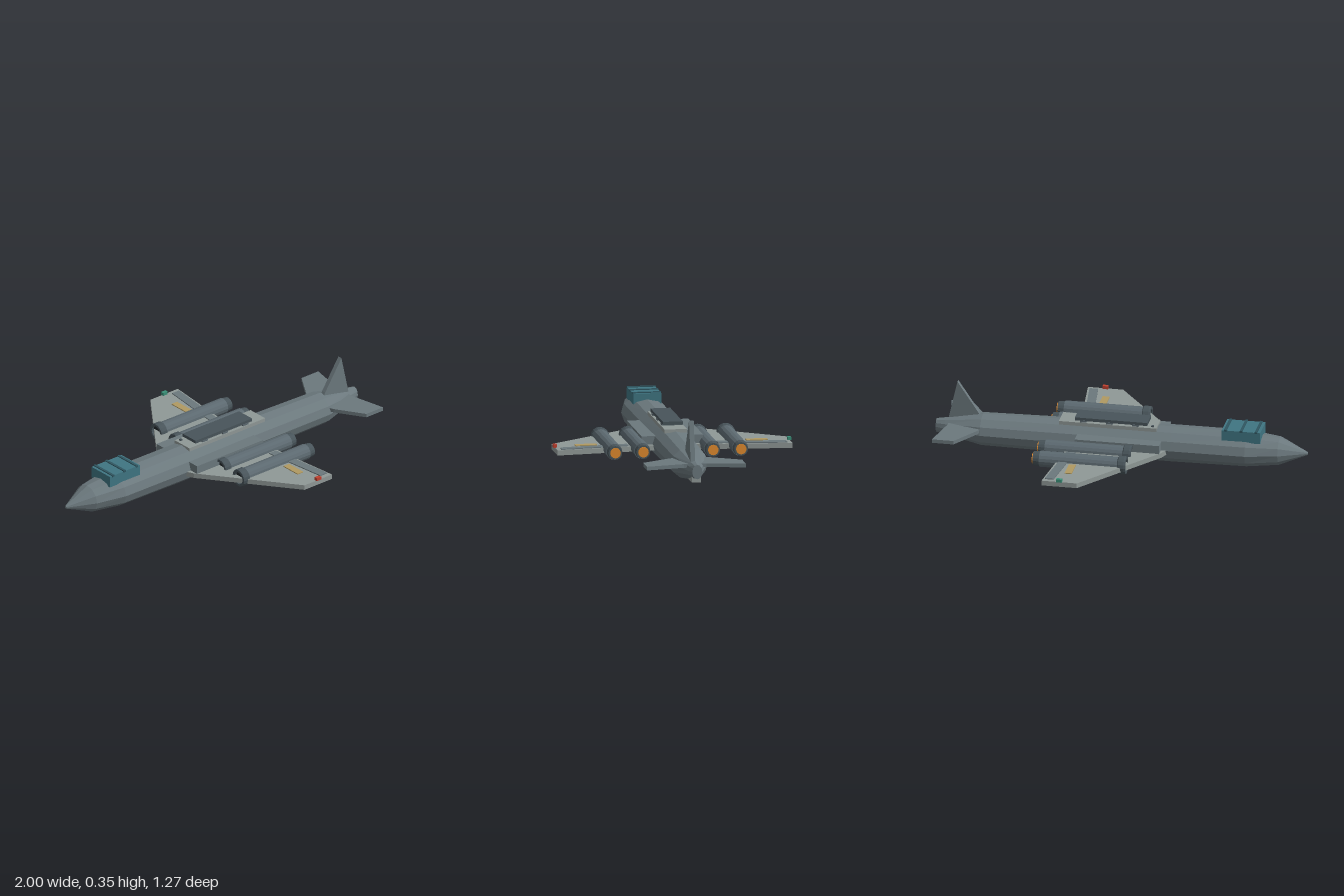
import * as THREE from 'three';

const COLORS = {
  hull: 0x6b787d, wing: 0x8f9896, engine: 0x5c6970, dark: 0x48545a, intake: 0x22282c,
  glow: 0xe08a2e, glass: 0x3f7582, frame: 0x2f5661, tan: 0xb09a62, red: 0xc0402f, green: 0x3a9078,
};
const mats = {};
for (const k in COLORS) {
  mats[k] = new THREE.MeshStandardMaterial({ color: COLORS[k], flatShading: true });
}

function add(parent, name, geo, mat) {
  const mesh = new THREE.Mesh(geo, mats[mat]);
  mesh.name = name;
  parent.add(mesh);
  return mesh;
}

// Box given by its extents on each axis
function box(parent, name, mat, [x0, x1], [y0, y1], [z0, z1]) {
  const geo = new THREE.BoxGeometry(x1 - x0, y1 - y0, z1 - z0);
  geo.translate((x0 + x1) / 2, (y0 + y1) / 2, (z0 + z1) / 2);
  return add(parent, name, geo, mat);
}

// Horizontal slab from an outline of [x, z] points
function slab(parent, name, mat, pts, y0, y1, side) {
  const shape = new THREE.Shape(pts.map(([x, z]) => new THREE.Vector2(x, -z * side)));
  const geo = new THREE.ExtrudeGeometry(shape, { depth: y1 - y0, bevelEnabled: false });
  geo.rotateX(-Math.PI / 2).translate(0, y0, 0);
  return add(parent, name, geo, mat);
}

// Cylinder along x
function tube(parent, name, mat, x0, x1, r0, r1, y, z, sides = 16) {
  const geo = new THREE.CylinderGeometry(r1, r0, x1 - x0, sides);
  geo.rotateZ(-Math.PI / 2).translate((x0 + x1) / 2, y, z);
  return add(parent, name, geo, mat);
}

// Twelve-sided hull lofted through elliptical sections [x, centre y, half height, half width]
function hullGeometry(sections, sides = 12) {
  const pos = [], index = [];
  for (const [x, y, h, w] of sections) {
    for (let i = 0; i < sides; i++) {
      const a = (i / sides) * Math.PI * 2;
      pos.push(x, y + h * Math.cos(a), w * Math.sin(a));
    }
  }
  const last = sections.length - 1;
  for (let s = 0; s < last; s++) {
    for (let i = 0; i < sides; i++) {
      const j = (i + 1) % sides;
      const a = s * sides + i, b = s * sides + j, c = a + sides, d = b + sides;
      index.push(a, b, c, b, d, c);
    }
  }
  // end caps
  for (let i = 1; i < sides - 1; i++) {
    index.push(0, i + 1, i);
    index.push(last * sides, last * sides + i, last * sides + i + 1);
  }
  const geo = new THREE.BufferGeometry();
  geo.setAttribute('position', new THREE.Float32BufferAttribute(pos, 3));
  geo.setIndex(index);
  geo.computeVertexNormals();
  return geo;
}

function makeEngine(z) {
  const g = new THREE.Group();
  g.name = 'engine';
  const y = 0.098;
  tube(g, 'nacelle', 'engine', -0.06, 0.375, 0.043, 0.043, y, z);
  // hollow intake lip
  const lip = new THREE.LatheGeometry([
    [0.034, 0.02], [0.034, 0], [0.047, 0], [0.049, 0.01], [0.049, 0.04], [0.042, 0.045],
  ].map(([r, h]) => new THREE.Vector2(r, h)).reverse(), 16);
  lip.rotateZ(-Math.PI / 2).translate(-0.09, y, z);
  const lipMesh = add(g, 'intakeLip', lip, 'dark');
  lipMesh.material = mats.dark.clone();
  lipMesh.material.side = THREE.DoubleSide;
  tube(g, 'intakeFan', 'intake', -0.075, -0.05, 0.035, 0.035, y, z);
  tube(g, 'nozzle', 'dark', 0.37, 0.41, 0.041, 0.037, y, z);
  tube(g, 'exhaustGlow', 'glow', 0.40, 0.416, 0.028, 0.028, y, z);
  return g;
}

function makeWing(side) {
  const g = new THREE.Group();
  g.name = side > 0 ? 'wingPositiveZ' : 'wingNegativeZ';
  const span = (a, b) => (side > 0 ? [a, b] : [-b, -a]);
  slab(g, 'wingPanel', 'wing',
    [[-0.27, 0.08], [-0.24, 0.15], [0.12, 0.63], [0.31, 0.63], [0.25, 0.08]], 0.075, 0.102, side);
  slab(g, 'flap', 'hull',
    [[0.205, 0.24], [0.25, 0.605], [0.297, 0.605], [0.252, 0.24]], 0.1, 0.107, side);
  box(g, 'wingMarker', 'tan', [0.17, 0.208], [0.1, 0.107], span(0.4, 0.515));
  box(g, 'tipLight', side > 0 ? 'red' : 'green', [0.2, 0.23], [0.102, 0.119], span(0.618, 0.637));
  box(g, 'wingRootFairing', 'hull', [-0.23, 0.225], [0.1, 0.147], span(0.08, 0.165));
  for (const z of [0.187, 0.337]) g.add(makeEngine(z * side));
  return g;
}

export function createModel() {
  const model = new THREE.Group();
  model.name = 'aircraft';

  add(model, 'fuselage', hullGeometry([
    [-1, 0.1, 0.008, 0.006],
    [-0.85, 0.104, 0.075, 0.08],
    [-0.68, 0.104, 0.092, 0.118],
    [-0.28, 0.1, 0.095, 0.115],
    [0.25, 0.098, 0.092, 0.107],
    [0.75, 0.095, 0.085, 0.1],
    [0.95, 0.095, 0.046, 0.042],
    [1, 0.095, 0.039, 0.027],
  ]), 'hull');

  // Cockpit with cross frames
  const canopy = new THREE.Group();
  canopy.name = 'canopy';
  model.add(canopy);
  box(canopy, 'canopyGlass', 'glass', [-0.757, -0.55], [0.165, 0.228], [-0.075, 0.075]);
  for (const x of [-0.735, -0.655, -0.57]) {
    box(canopy, 'canopyFrame', 'frame', [x - 0.007, x + 0.007], [0.222, 0.233], [-0.077, 0.077]);
  }

  // Dorsal deck and raised cover on supports
  const deck = new THREE.Group();
  deck.name = 'dorsalDeck';
  model.add(deck);
  box(deck, 'deckPlate', 'wing', [-0.195, 0.33], [0.18, 0.2], [-0.06, 0.06]);
  box(deck, 'deckCover', 'dark', [-0.145, 0.245], [0.208, 0.225], [-0.053, 0.053]);
  for (const x of [-0.08, 0.06, 0.2]) {
    box(deck, 'coverSupport', 'engine', [x - 0.018, x + 0.018], [0.195, 0.21], [-0.055, 0.055]);
  }
  box(deck, 'deckSensor', 'dark', [-0.178, -0.165], [0.195, 0.208], [-0.045, -0.032]);

  for (const side of [1, -1]) {
    model.add(makeWing(side));
    slab(model, 'tailplane', 'hull',
      [[0.74, 0.06], [0.76, 0.11], [0.857, 0.265], [0.973, 0.265], [0.93, 0.06], [0.93, 0.02]],
      0.107, 0.127, side);
  }

  // Upright fin
  const fin = new THREE.Shape([[0.74, 0.12], [0.775, 0.185], [0.888, 0.353], [0.938, 0.13]]
    .map(([x, y]) => new THREE.Vector2(x, y)));
  add(model, 'tailFin',
    new THREE.ExtrudeGeometry(fin, { depth: 0.025, bevelEnabled: false }), 'hull');
  box(model, 'tailSkid', 'wing', [0.87, 0.975], [0.034, 0.07], [-0.025, 0.025]);

  return model;
}
